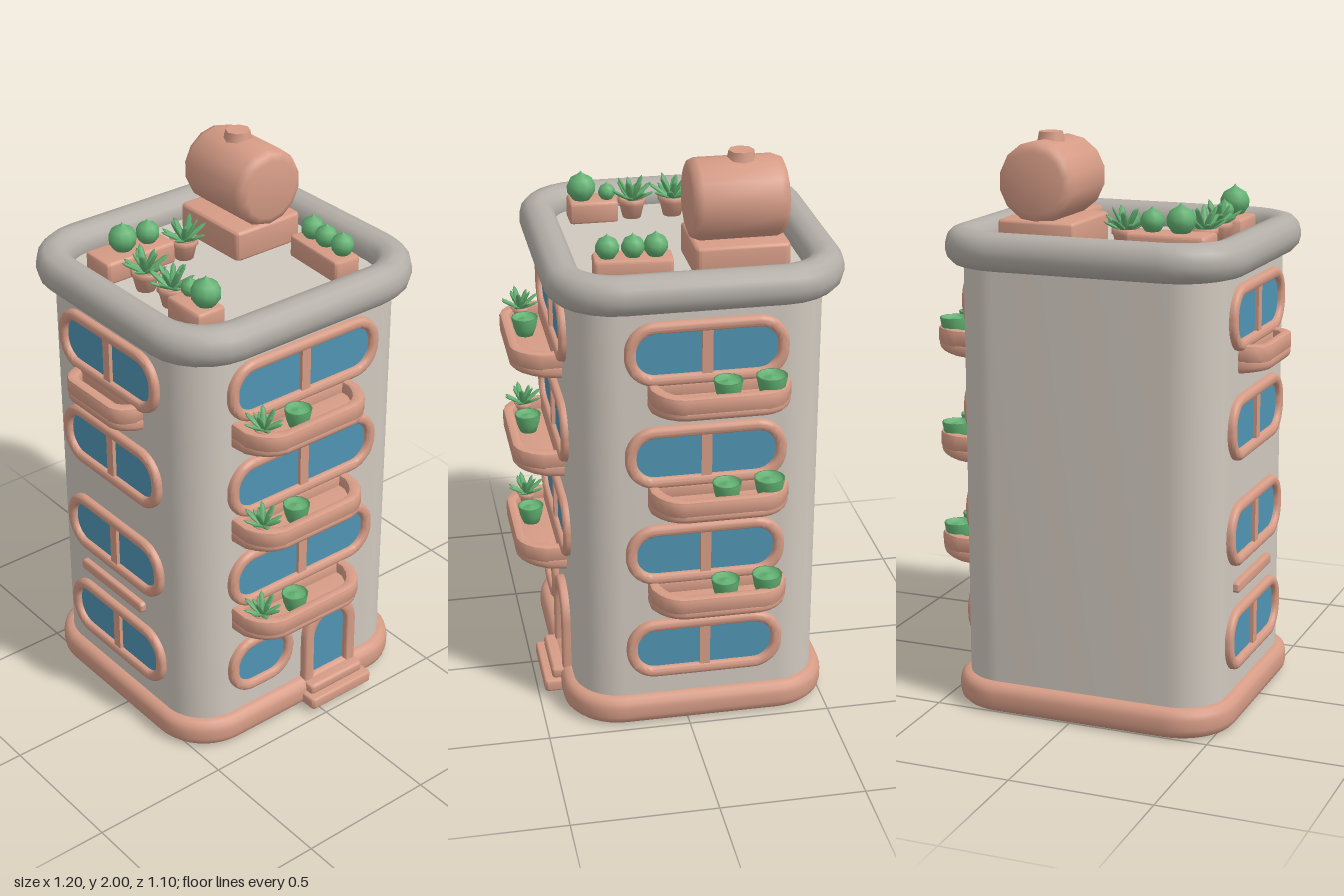
import * as THREE from 'three';
import { toCreasedNormals } from 'three/addons/utils/BufferGeometryUtils.js';

const mat = (name, color, side = THREE.FrontSide) => {
  const m = new THREE.MeshStandardMaterial({ color, side });
  m.name = name;
  return m;
};

export function createModel() {
  const root = new THREE.Group();
  root.name = 'plantedTower';
  const plaster = mat('plaster', 0xd0c8be);
  const stone = mat('rimStone', 0xb3aea7);
  const clay = mat('terracotta', 0xd69c86);
  const leafy = mat('plantGreen', 0x63b072, THREE.DoubleSide);
  const glass = mat('windowBlue', 0x5094b3);

  const add = (parent, name, geo, m, x = 0, y = 0, z = 0) => {
    const mesh = new THREE.Mesh(geo, m);
    mesh.name = name;
    mesh.position.set(x, y, z);
    parent.add(mesh);
    return mesh;
  };
  const group = (parent, name, x, y, z, ry = 0) => {
    const g = new THREE.Group();
    g.name = name;
    g.position.set(x, y, z);
    g.rotation.y = ry;
    parent.add(g);
    return g;
  };

  // Rounded rectangle outline, given half sizes and corner radius
  const roundRect = (hw, hh, r, Type = THREE.Shape) => {
    const s = new Type();
    const a = Math.PI / 2, w = hw - r, h = hh - r;
    s.absarc(w, h, r, 0, a);
    s.absarc(-w, h, r, a, 2 * a);
    s.absarc(-w, -h, r, 2 * a, 3 * a);
    s.absarc(w, -h, r, 3 * a, 4 * a);
    s.closePath();
    return s;
  };
  // Bevelled extrusion whose total thickness is exactly `depth`, starting at z = 0
  const extrude = (shape, depth, bevel, curveSegments = 5, bevelSegments = 3) => {
    const g = new THREE.ExtrudeGeometry(shape, {
      depth: depth - 2 * bevel, bevelEnabled: bevel > 0, bevelSize: bevel,
      bevelThickness: bevel, bevelSegments, curveSegments, steps: 1,
    });
    g.translate(0, 0, bevel);
    return toCreasedNormals(g, 0.75);
  };
  const block = (hw, hh, r, depth, bevel, inset = 0, segs = 5) => {
    const s = roundRect(hw - bevel, hh - bevel, r - bevel);
    if (inset) {
      const k = inset - bevel;
      s.holes.push(roundRect(hw - k, hh - k, Math.max(r - k, 0.01), THREE.Path));
    }
    return extrude(s, depth, bevel, segs);
  };
  const lay = (g) => g.rotateX(-Math.PI / 2);

  // Tower shell, base ring and roof rim
  const CX = -0.033, CZ = -0.05;
  add(root, 'towerBody', lay(block(0.4725, 0.43, 0.16, 1.58, 0, 0, 7)), plaster, CX, 0.03, CZ);
  add(root, 'baseRing', lay(block(0.51, 0.47, 0.2, 0.105, 0.035, 0.085)), clay, CX, 0.005, CZ);
  add(root, 'roofRim', lay(block(0.535, 0.505, 0.24, 0.13, 0.055, 0.125, 3)), stone, CX, 1.56, CZ);

  // Wall groups: local +z points outward
  const front = group(root, 'frontWall', 0, 0, 0.38);
  const left = group(root, 'leftWall', 0.44, 0, 0, Math.PI / 2);
  const right = group(root, 'rightWall', -0.505, 0, 0, -Math.PI / 2);

  const addWindow = (wall, x, y, w, mullion = true) => {
    const g = group(wall, 'window', x, y, 0);
    const hw = w / 2, hh = 0.112;
    add(g, 'windowFrame', block(hw, hh, hh - 0.008, 0.05, 0.014, 0.038), clay, 0, 0, -0.025);
    add(g, 'windowGlass', new THREE.ShapeGeometry(roundRect(hw - 0.02, hh - 0.02, hh - 0.03), 6), glass, 0, 0, 0.005);
    if (mullion) add(g, 'mullion', new THREE.BoxGeometry(0.036, 0.16, 0.02), clay, 0, 0, 0.008);
  };

  // Planter balcony: closed floor, open rim, underside sloping up to the front
  const trayShape = (w, d, k, back, Type = THREE.Shape) => {
    const s = new Type(), h = w / 2 - k, f = d - k, c = Math.min(0.09, d * 0.6);
    s.moveTo(-h, -back);
    s.lineTo(-h, -(f - c));
    s.quadraticCurveTo(-h + c * 0.3, -(f - c * 0.1), -h + c, -f);
    s.lineTo(h - c, -f);
    s.quadraticCurveTo(h - c * 0.3, -(f - c * 0.1), h, -(f - c));
    s.lineTo(h, -back);
    s.closePath();
    return s;
  };
  const addTray = (wall, x, y, w, d) => {
    const g = group(wall, 'balcony', x, y, 0);
    const floor = lay(extrude(trayShape(w, d, 0.02, -0.01), 0.055, 0.018, 4));
    const p = floor.attributes.position;
    for (let i = 0; i < p.count; i++) {
      if (p.getY(i) < 0.03) p.setY(i, p.getY(i) + p.getZ(i) * 0.1);
    }
    add(g, 'balconyFloor', toCreasedNormals(floor, 0.75), clay);
    const s = trayShape(w, d, 0.012, -0.01);
    s.holes.push(trayShape(w, d, 0.028, 0.012, THREE.Path));
    add(g, 'balconyRim', lay(extrude(s, 0.06, 0.01, 4, 2)), clay, 0, 0.037, 0);
    return g;
  };

  // Plants
  const lathe = (pts, n) => new THREE.LatheGeometry(pts.map(([a, b]) => new THREE.Vector2(a, b)), n);
  const ballGeo = lathe([[0, -1], [0.6, -0.8], [0.95, -0.3], [0.98, 0.15], [0.75, 0.65], [0.3, 0.9], [0.1, 1.05], [0, 1.2]], 10);
  const potGeo = lathe([[0, 0], [0.7, 0], [1, 1.3], [1.12, 1.3], [1.12, 1.7], [0.9, 1.7], [0.85, 1.4], [0, 1.4]], 10);
  const cupGeo = lathe([[0, 0], [0.6, 0], [0.85, 0.7], [1, 1.5], [0.9, 1.5], [0.8, 1.2], [0.4, 1.3], [0, 1.45]], 12);
  const leafGeo = new THREE.SphereGeometry(1, 5, 4);
  leafGeo.scale(0.14, 0.5, 0.07).translate(0, 0.5, 0);

  const addBall = (parent, x, y, z, r) => add(parent, 'roundCactus', ballGeo, leafy, x, y, z).scale.setScalar(r);
  const addCup = (parent, x, y, z, r) => add(parent, 'succulentCup', cupGeo, leafy, x, y, z).scale.setScalar(r);
  const addAgave = (parent, x, y, z, r, len) => {
    const g = group(parent, 'agave', x, y, z, x * 9 + z * 5);
    add(g, 'agavePot', potGeo, clay).scale.setScalar(r);
    for (let i = 0; i < 13; i++) {
      const leaf = add(g, 'agaveLeaf', leafGeo, leafy, 0, r * 1.4, 0);
      leaf.rotation.set(i < 8 ? 1.0 + 0.12 * (i % 2) : 0.5, i * (i < 8 ? Math.PI / 4 : 1.26), 0, 'YXZ');
      leaf.scale.setScalar(len * (i % 2 ? 0.88 : 1));
    }
  };

  // Upper floors: windows, balconies and their plants
  for (const y of [0.67, 1.04, 1.415]) {
    addWindow(front, -0.04, y, 0.64);
    const tray = addTray(front, -0.095, y - 0.2, 0.5, 0.17);
    addAgave(tray, -0.185, 0.05, 0.09, 0.03, 0.085);
    addCup(tray, -0.04, 0.05, 0.09, 0.047);
    const side = addTray(left, 0.0975, y - 0.2, 0.475, 0.157);
    addCup(side, 0.0175, 0.052, 0.085, 0.05);
    addCup(side, 0.1625, 0.052, 0.085, 0.053);
  }
  for (const y of [0.297, 0.67, 1.04, 1.415]) {
    addWindow(left, 0.06, y, 0.55);
    addWindow(right, -0.06, y, 0.55);
  }
  addTray(right, -0.06, 1.222, 0.36, 0.097);
  add(right, 'windowLedge', block(0.18, 0.02, 0.012, 0.045, 0.008), clay, -0.08, 0.483, -0.022);

  // Ground floor: oval window, arched door and steps
  addWindow(front, -0.217, 0.297, 0.285, false);
  const arch = (hw, top, bottom, Type = THREE.Shape) => {
    const s = new Type();
    s.moveTo(-hw, bottom);
    s.lineTo(hw, bottom);
    s.absarc(0, top - hw, hw, 0, Math.PI);
    s.closePath();
    return s;
  };
  const door = group(front, 'door', 0.095, 0, 0);
  const frame = arch(0.108, 0.393, 0.07);
  frame.holes.push(arch(0.088, 0.373, 0.09, THREE.Path));
  add(door, 'doorFrame', extrude(frame, 0.055, 0.012, 6), clay, 0, 0, -0.025);
  add(door, 'doorPanel', new THREE.ShapeGeometry(arch(0.09, 0.375, 0.06), 8), glass, 0, 0, 0.006);
  add(door, 'lowerStep', lay(block(0.14, 0.07, 0.015, 0.045, 0.01)), clay, 0, 0.02, 0.03);
  add(door, 'upperStep', lay(block(0.122, 0.055, 0.015, 0.04, 0.01)), clay, 0, 0.062, 0.015);

  // Water tank on its plinth
  const FLOOR = 1.605;
  add(root, 'tankPlinth', lay(block(0.14, 0.16, 0.02, 0.11, 0.012)), clay, 0.168, FLOOR, -0.21);
  const tank = lathe([[0, -0.163], [0.105, -0.163], [0.128, -0.155], [0.138, -0.13], [0.138, 0.13],
    [0.128, 0.155], [0.105, 0.163], [0, 0.163]], 14).rotateX(Math.PI / 2);
  add(root, 'waterTank', toCreasedNormals(tank, 0.9), clay, 0.172, 1.84, -0.207);
  add(root, 'tankCap', toCreasedNormals(new THREE.CylinderGeometry(0.043, 0.05, 0.035, 8), 0.9), clay, 0.17, 1.9825, -0.225);

  // Roof garden: long planters with round cacti, plus potted agaves
  const addPlanter = (x, z, hw, hd, ry, balls) => {
    const g = group(root, 'roofPlanter', x, FLOOR, z, ry);
    add(g, 'planterBox', lay(block(hw, hd, 0.015, 0.08, 0.01)), clay);
    for (const [bx, bz, r] of balls) addBall(g, bx, 0.075 + r * 0.95, bz, r);
  };
  addPlanter(-0.272, -0.252, 0.142, 0.067, 0, [[-0.034, 0.002, 0.05], [0.068, 0.005, 0.042]]);
  addPlanter(-0.34, 0.195, 0.056, 0.086, 0, [[0.01, 0.04, 0.052], [0.015, -0.05, 0.031]]);
  addPlanter(0.245, 0.15, 0.052, 0.132, -0.07, [[0.005, -0.075, 0.042], [0.006, 0, 0.04], [0.01, 0.085, 0.041]]);
  for (const [x, z] of [[-0.09, -0.195], [-0.33, -0.09], [-0.33, 0.055]]) addAgave(root, x, FLOOR, z, 0.045, 0.1);

  return root;
}
